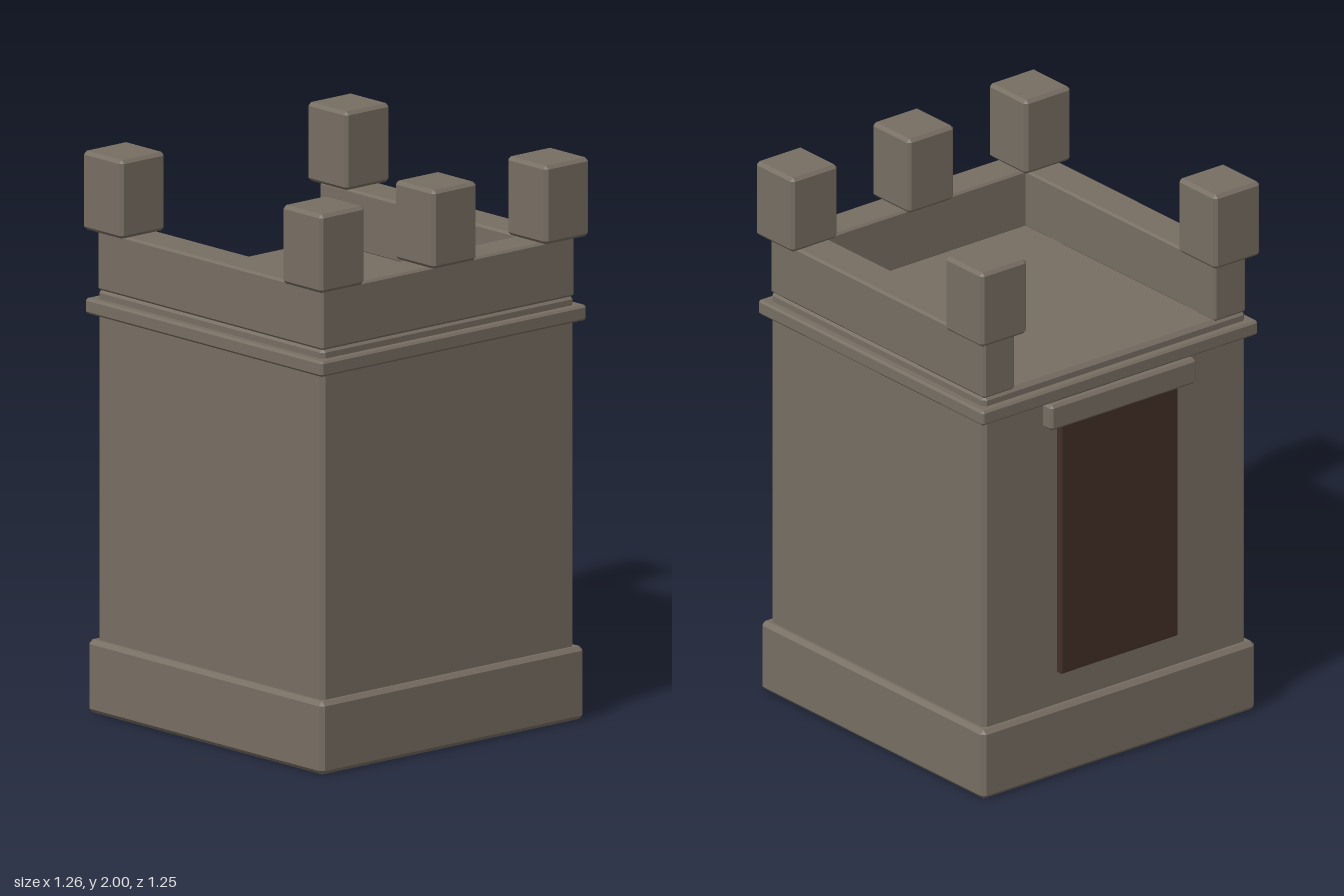
import * as THREE from 'three';
import { ConvexGeometry } from 'three/addons/geometries/ConvexGeometry.js';

// Box from min to max corner with flat chamfered edges
function chamferBox(min, max, bevel) {
  const c = min.map((v, i) => (v + max[i]) / 2);
  const h = min.map((v, i) => (max[i] - v) / 2);
  const points = [];
  for (const sx of [-1, 1]) for (const sy of [-1, 1]) for (const sz of [-1, 1]) {
    const s = [sx, sy, sz];
    for (let face = 0; face < 3; face++) {
      const p = s.map((sign, i) => c[i] + sign * (h[i] - (i === face ? 0 : bevel)));
      points.push(new THREE.Vector3(...p));
    }
  }
  return new ConvexGeometry(points);
}

export function createModel() {
  const group = new THREE.Group();
  group.name = 'tower';
  const stone = new THREE.MeshStandardMaterial({ color: 0x776e62 });
  stone.name = 'stone';
  const wood = new THREE.MeshStandardMaterial({ color: 0x432f27 });
  wood.name = 'darkWood';

  const add = (name, min, max, bevel = 0.012, material = stone) => {
    const mesh = new THREE.Mesh(chamferBox(min, max, bevel), material);
    mesh.name = name;
    group.add(mesh);
  };

  // Plinth, shaft and string course
  add('plinth', [-0.605, 0, -0.61], [0.615, 0.26, 0.61], 0.015);
  add('shaft', [-0.58, 0.1, -0.585], [0.59, 1.51, 0.585], 0.014);
  add('stringCourse', [-0.61, 1.42, -0.615], [0.62, 1.475, 0.615], 0.008);

  // Parapet on three sides, open on the door side
  add('parapetFront', [-0.58, 1.505, 0.445], [0.59, 1.72, 0.585], 0.008);
  add('parapetBack', [-0.58, 1.505, -0.585], [0.59, 1.72, -0.445], 0.008);
  add('parapetSide', [0.455, 1.505, -0.585], [0.59, 1.72, 0.585], 0.008);

  // Merlons at the corners and in the middle of the closed side
  for (const [x, z] of [[-0.512, 0.52], [-0.512, -0.52], [0.523, 0.52], [0.523, -0.52], [0.523, 0]]) {
    add('merlon', [x - 0.103, 1.72, z - 0.103], [x + 0.103, 2, z + 0.103]);
  }

  // Door and lintel
  add('door', [-0.605, 0.38, -0.26], [-0.575, 1.34, 0.26], 0.004, wood);
  add('lintel', [-0.63, 1.325, -0.325], [-0.575, 1.42, 0.325], 0.01);

  return group;
}
